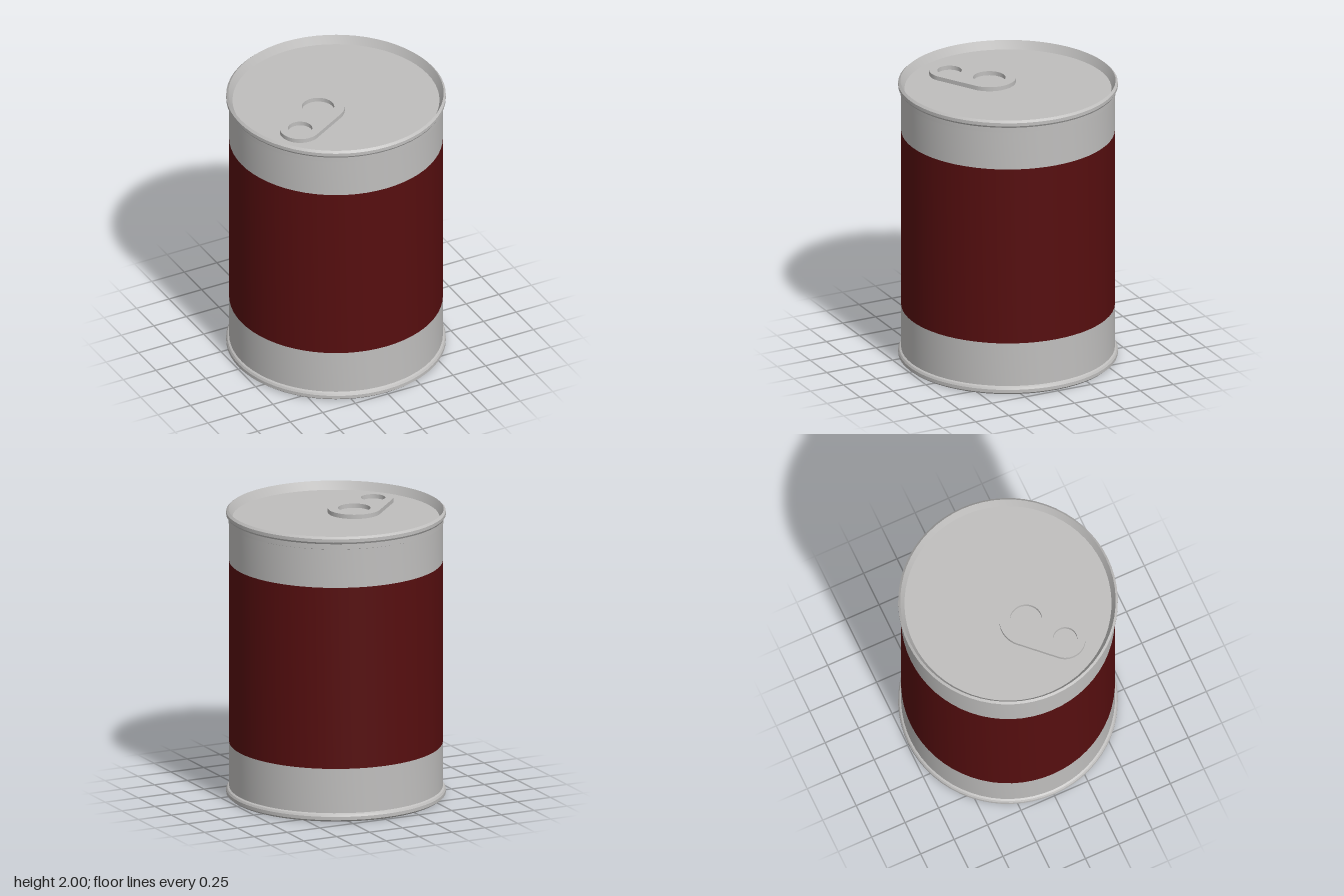
import * as THREE from 'three';
import { toCreasedNormals } from 'three/addons/utils/BufferGeometryUtils.js';

const SEGMENTS = 64;
const metal = new THREE.MeshStandardMaterial({ name: 'tin grey', color: 0xbfbebd });
const paint = new THREE.MeshStandardMaterial({ name: 'dark red', color: 0x560e0f });

// Turns a [radius, height] profile into a mesh with crisp profile edges
function turned(name, profile, material) {
  const points = profile.map(([r, y]) => new THREE.Vector2(r, y));
  const geometry = toCreasedNormals(new THREE.LatheGeometry(points, SEGMENTS), 0.35);
  const mesh = new THREE.Mesh(geometry, material);
  mesh.name = name;
  return mesh;
}

// Ring pull: two circles joined by their outer tangents, each with a hole
function pullTab(lidY) {
  const small = { x: -0.403, y: -0.24, r: 0.138, hole: 0.083 };
  const big = { x: -0.168, y: -0.057, r: 0.181, hole: 0.11 };
  const dx = big.x - small.x, dy = big.y - small.y;
  const axis = Math.atan2(dy, dx);
  const spread = Math.acos((small.r - big.r) / Math.hypot(dx, dy));

  const shape = new THREE.Shape();
  shape.absarc(big.x, big.y, big.r, axis - spread, axis + spread, false);
  shape.absarc(small.x, small.y, small.r, axis + spread, axis - spread + Math.PI * 2, false);
  shape.closePath();
  for (const c of [small, big]) {
    shape.holes.push(new THREE.Path().absarc(c.x, c.y, c.hole, 0, Math.PI * 2, true));
  }

  const geometry = new THREE.ExtrudeGeometry(shape, { depth: 0.03, bevelEnabled: false, curveSegments: 32 });
  geometry.rotateX(-Math.PI / 2);
  const mesh = new THREE.Mesh(toCreasedNormals(geometry, 0.5), metal);
  mesh.name = 'pullTab';
  mesh.position.y = lidY;
  return mesh;
}

export function createModel() {
  const can = new THREE.Group();
  can.name = 'tinCan';
  const R = 0.725, lidY = 1.942;

  // Recessed base with its rolled rim
  can.add(turned('baseAndRim', [
    [0, 0.058], [0.702, 0.058], [0.73, 0], [0.745, 0.013],
    [0.745, 0.036], [0.737, 0.05], [R, 0.057],
  ], metal));

  // Side wall: bare metal above and below the painted band
  can.add(turned('lowerWall', [[R, 0.057], [R, 0.368]], metal));
  can.add(turned('label', [[R, 0.368], [R, 1.64]], paint));
  can.add(turned('upperWall', [[R, 1.64], [R, 1.91]], metal));

  // Recessed lid with its skirt and rolled rim
  can.add(turned('lidAndRim', [
    [R, 1.91], [0.73, 1.912], [0.73, 1.948], [0.737, 1.95], [0.745, 1.963],
    [0.745, 1.986], [0.73, 2], [0.702, lidY], [0, lidY],
  ], metal));

  can.add(pullTab(lidY));
  return can;
}
